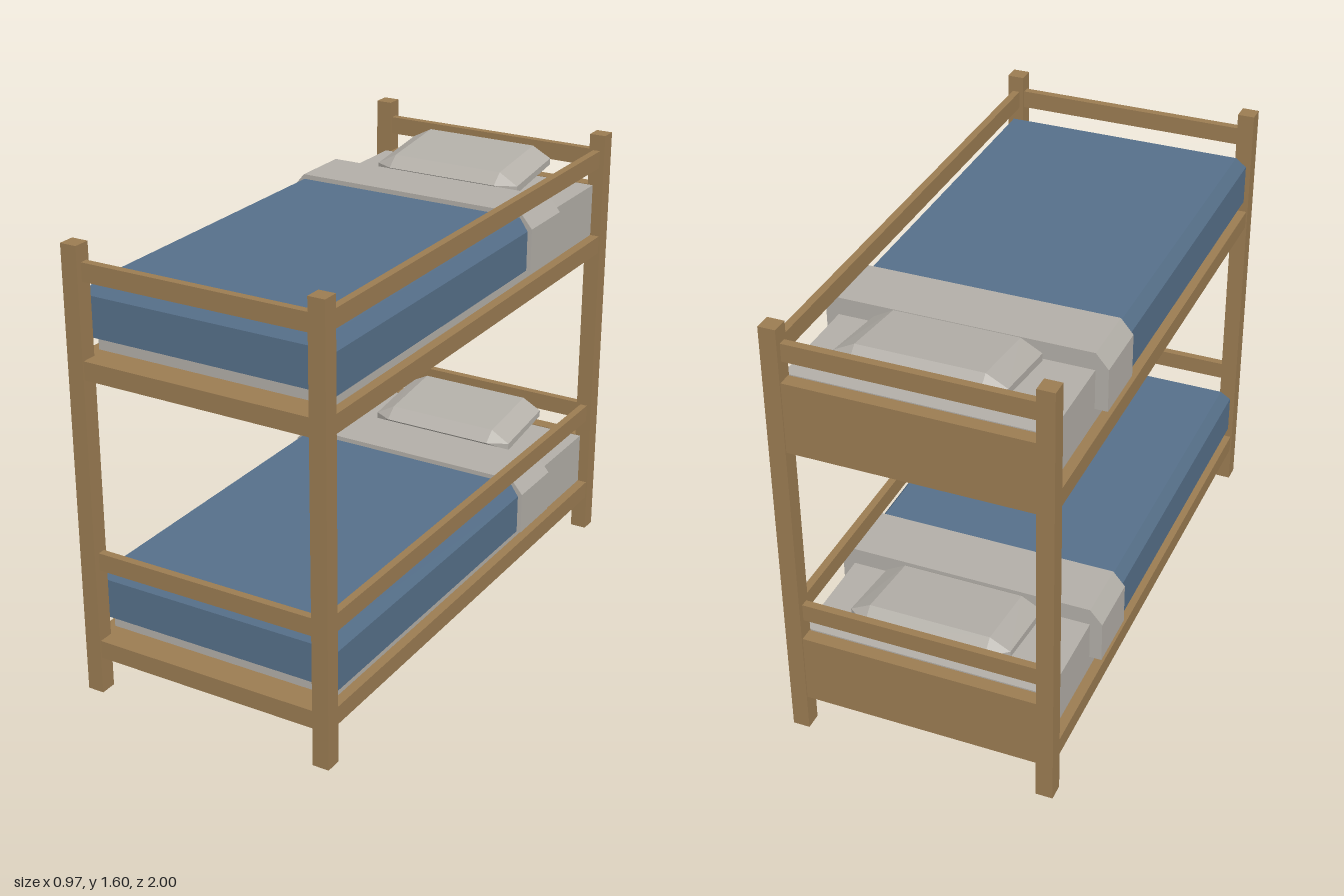
import * as THREE from 'three';
import { ConvexGeometry } from 'three/addons/geometries/ConvexGeometry.js';

const material = (name, color) => {
  const m = new THREE.MeshStandardMaterial({ color });
  m.name = name;
  return m;
};

export function createModel() {
  const wood = material('wood', 0x9b7c52);
  const linen = material('linen', 0xb3afa8);
  const blue = material('blanketBlue', 0x56708a);
  const model = new THREE.Group();
  model.name = 'bunkBed';

  const add = (parent, name, geometry, mat) => {
    const mesh = new THREE.Mesh(geometry, mat);
    mesh.name = name;
    parent.add(mesh);
    return mesh;
  };

  // Box given by its limits on each axis
  const box = (parent, name, mat, [x0, x1], [y0, y1], [z0, z1]) =>
    add(parent, name, new THREE.BoxGeometry(x1 - x0, y1 - y0, z1 - z0), mat)
      .position.set((x0 + x1) / 2, (y0 + y1) / 2, (z0 + z1) / 2);

  // Faceted solid through points [halfWidth, y, z], mirrored across x
  const hull = (parent, name, mat, points) =>
    add(parent, name, new ConvexGeometry(points.flatMap(([x, y, z]) =>
      [new THREE.Vector3(x, y, z), new THREE.Vector3(-x, y, z)])), mat);

  // Corner posts
  for (const x of [-0.45, 0.45])
    for (const z of [-0.97, 0.97])
      box(model, 'post', wood, [x - 0.03, x + 0.03], [0, 1.603], [z - 0.03, z + 0.03]);

  // One bunk, measured from the underside of its base
  const makeBunk = (name, height) => {
    const bunk = new THREE.Group();
    bunk.name = name;
    bunk.position.y = height;
    model.add(bunk);

    // Base and headboard
    box(bunk, 'base', wood, [-0.475, 0.475], [0, 0.065], [-0.995, 0.995]);
    box(bunk, 'headboard', wood, [-0.43, 0.43], [0.06, 0.258], [-0.995, -0.945]);

    // Guard rails on both ends and the left side
    for (const z of [-0.965, 0.965])
      box(bunk, 'endRail', wood, [-0.43, 0.43], [0.327, 0.391], [z - 0.014, z + 0.014]);
    box(bunk, 'sideRail', wood, [0.435, 0.462], [0.327, 0.391], [-0.95, 0.95]);

    box(bunk, 'mattress', linen, [-0.44, 0.44], [0.065, 0.258], [-0.94, 0.89]);

    // Blanket with chamfered top edges
    hull(bunk, 'blanket', blue, [
      [0.468, 0.116, -0.345], [0.468, 0.116, 0.92],
      [0.468, 0.258, -0.345], [0.468, 0.258, 0.92],
      [0.437, 0.303, -0.345], [0.437, 0.303, 0.89],
    ]);

    // Turned-down sheet
    hull(bunk, 'foldedSheet', linen, [-0.565, -0.342].flatMap(z =>
      [[0.484, 0.115, z], [0.484, 0.268, z], [0.44, 0.32, z]]));

    // Tilted pillow with bevelled edges
    hull(bunk, 'pillow', linen, [
      [0.215, 0.254, -0.62], [0.215, 0.289, -0.89],
      [0.287, 0.288, -0.62], [0.287, 0.327, -0.89],
      [0.287, 0.315, -0.62], [0.287, 0.35, -0.89],
      [0.215, 0.318, -0.577], [0.215, 0.343, -0.937],
      [0.215, 0.356, -0.622], [0.215, 0.388, -0.89],
    ]);
  };

  makeBunk('lowerBunk', 0.135);
  makeBunk('upperBunk', 1.153);
  return model;
}
